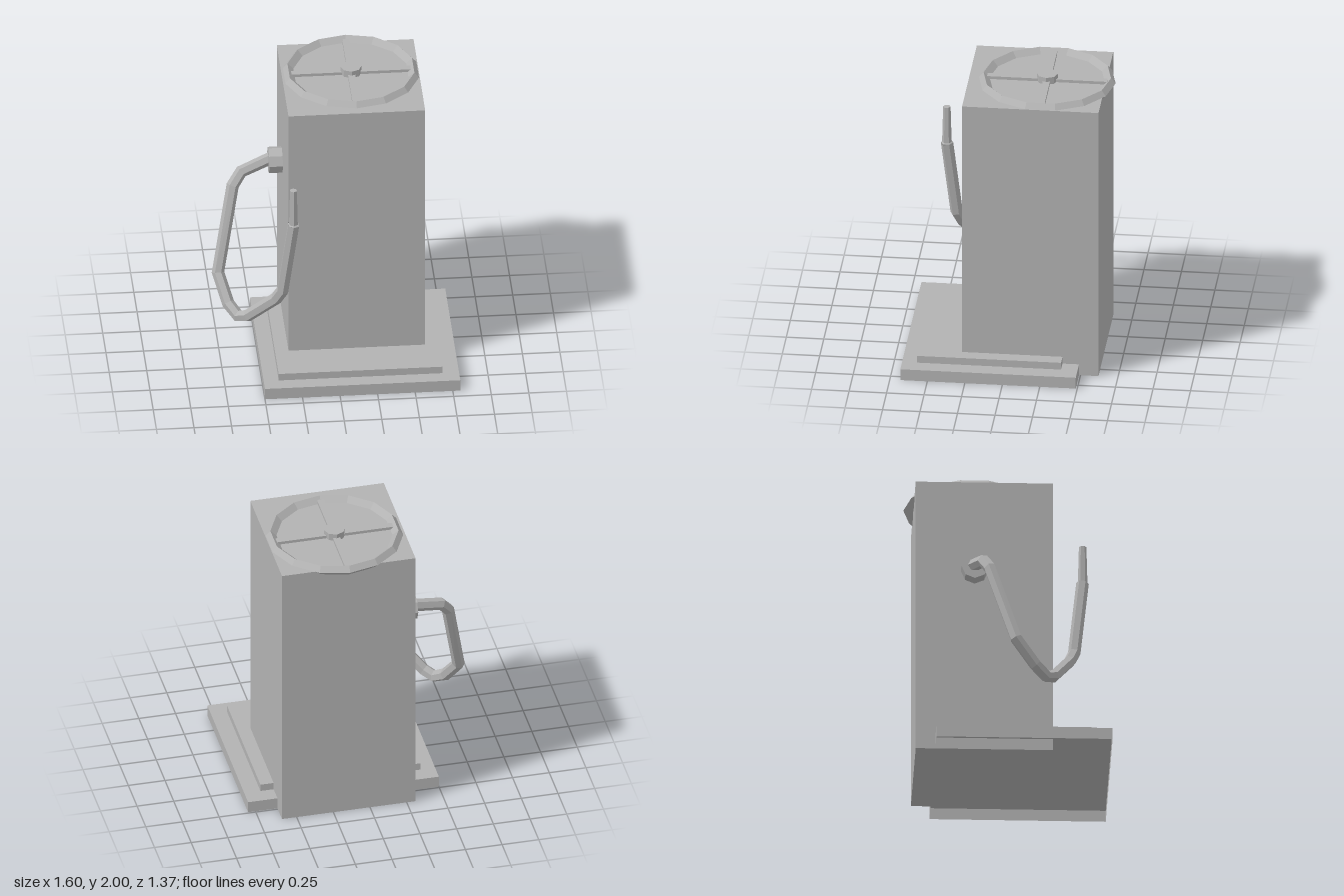
import * as THREE from 'three';

// Straight-segment path whose rings sit exactly on the given points
class BentPath extends THREE.Curve {
  constructor(points) {
    super();
    this.points = points.map((p) => new THREE.Vector3(...p));
  }
  getUtoTmapping(u) { return u; }
  getPoint(t, target = new THREE.Vector3()) {
    const s = t * (this.points.length - 1);
    const i = Math.min(Math.floor(s), this.points.length - 2);
    return target.lerpVectors(this.points[i], this.points[i + 1], s - i);
  }
  getTangent(t, target = new THREE.Vector3()) {
    const p = this.points, last = p.length - 1;
    const i = Math.round(t * last);
    const dir = (a, b) => p[b].clone().sub(p[a]).normalize();
    target.set(0, 0, 0);
    if (i > 0) target.add(dir(i - 1, i));
    if (i < last) target.add(dir(i, i + 1));
    return target.normalize();
  }
}

export function createModel() {
  const model = new THREE.Group();
  model.name = 'pump';
  const grey = new THREE.MeshStandardMaterial({ color: 0xb2b2b2, flatShading: true, side: THREE.DoubleSide });
  grey.name = 'plain grey';

  const add = (name, geometry, parent = model) => {
    const mesh = new THREE.Mesh(geometry, grey);
    mesh.name = name;
    parent.add(mesh);
    return mesh;
  };
  // Box given by its limits on each axis
  const box = (x0, x1, y0, y1, z0, z1) =>
    new THREE.BoxGeometry(x1 - x0, y1 - y0, z1 - z0)
      .translate((x0 + x1) / 2, (y0 + y1) / 2, (z0 + z1) / 2);
  // Same box without its bottom face
  const openBox = (...limits) => {
    const g = box(...limits);
    const index = Array.from(g.index.array);
    index.splice(18, 6);
    g.setIndex(index);
    g.clearGroups();
    return g;
  };
  const lathe = (profile, sides) =>
    new THREE.LatheGeometry(profile.map(([r, y]) => new THREE.Vector2(r, y)), sides);

  // Cabinet and stepped base, hollow underneath
  add('cabinet', box(-0.31, 0.6, 0, 1.95, -0.62, 0.29));
  add('lowerStep', openBox(-0.5, 0.8, 0, 0.08, -0.49, 0.68));
  add('upperStep', openBox(-0.4, 0.69, 0.08, 0.13, -0.38, 0.58));

  // Wheel lying on top: faceted rim, four spokes, hub
  const wheel = new THREE.Group();
  wheel.name = 'wheel';
  wheel.position.set(0.15, 1.95, -0.23);
  model.add(wheel);
  add('rim', lathe([[0.422, -0.035], [0.456, 0], [0.425, 0.036], [0.385, 0], [0.422, -0.035]], 14), wheel);
  for (let i = 0; i < 2; i++) {
    const spoke = add('spokePair', box(-0.4, 0.4, 0, 0.02, -0.024, 0.024), wheel);
    spoke.rotation.y = i * Math.PI / 2;
  }
  add('hub', new THREE.CylinderGeometry(0.07, 0.07, 0.05, 8).translate(0, 0.025, 0), wheel);

  // Octagonal socket on the side
  const socket = add('hoseSocket', new THREE.CylinderGeometry(0.09, 0.09, 0.1, 8));
  socket.rotation.z = Math.PI / 2;
  socket.position.set(-0.35, 1.3, -0.23);

  // Hanging hose
  const hose = new BentPath([
    [-0.38, 1.31, -0.24], [-0.585, 1.25, -0.18], [-0.645, 1.17, -0.14],
    [-0.757, 0.605, 0.03], [-0.7, 0.44, 0.16], [-0.64, 0.385, 0.235],
    [-0.58, 0.415, 0.285], [-0.4, 0.61, 0.4], [-0.36, 0.69, 0.43],
    [-0.293, 1.23, 0.487],
  ]);
  add('hose', new THREE.TubeGeometry(hose, 9, 0.042, 6, false));

  // Tapered nozzle with a small shoulder
  const nozzle = add('nozzle', lathe([[0.04, 0], [0.032, 0.005], [0.025, 0.265], [0, 0.265]], 6));
  nozzle.position.set(-0.294, 1.23, 0.488);

  return model;
}
